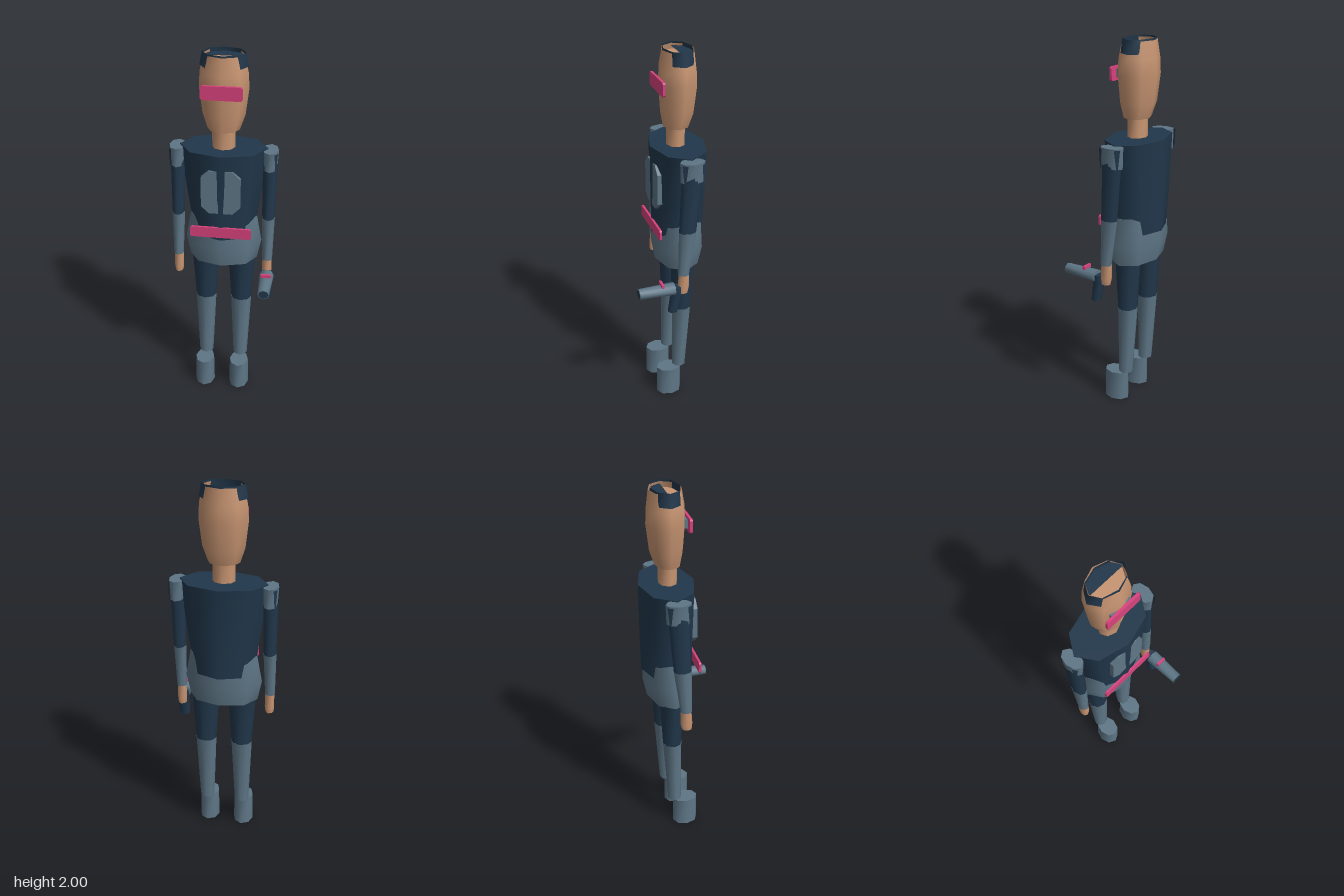
import * as THREE from 'three';

const mat = (name, color, side = THREE.FrontSide) => {
  const m = new THREE.MeshStandardMaterial({ color, side });
  m.name = name;
  return m;
};

// Closed loft with eight sides; each ring is [y, rx, rz, cx, cz], listed bottom to top.
function loft(rings, capBottom = true, capTop = true, sides = 8) {
  const pos = [], idx = [];
  const point = ([y, rx, rz, cx = 0, cz = 0], i) => {
    const a = (i / sides) * Math.PI * 2;
    pos.push(cx + rx * Math.sin(a), y, cz + rz * Math.cos(a));
  };
  rings.forEach((r) => { for (let i = 0; i < sides; i++) point(r, i); });
  for (let k = 0; k < rings.length - 1; k++) {
    for (let i = 0; i < sides; i++) {
      const a = k * sides + i, b = k * sides + ((i + 1) % sides);
      idx.push(a, b, b + sides, a, b + sides, a + sides);
    }
  }
  // Caps keep their own vertices so that their edges stay sharp
  const cap = (r, up) => {
    const s = pos.length / 3;
    for (let i = 0; i < sides; i++) point(r, i);
    for (let i = 1; i < sides - 1; i++) {
      if (up) idx.push(s, s + i, s + i + 1);
      else idx.push(s, s + i + 1, s + i);
    }
  };
  if (capBottom) cap(rings[0], false);
  if (capTop) cap(rings[rings.length - 1], true);
  const g = new THREE.BufferGeometry();
  g.setAttribute('position', new THREE.Float32BufferAttribute(pos, 3));
  g.setIndex(idx);
  g.computeVertexNormals();
  return g;
}

// Plate with cut corners, facing +z, centred on the origin
function plate(w, h, d, cut) {
  const x = w / 2, y = h / 2;
  const s = new THREE.Shape([
    [-x + cut, -y], [x - cut, -y], [x, -y + cut], [x, y - cut],
    [x - cut, y], [-x + cut, y], [-x, y - cut], [-x, -y + cut],
  ].map(([a, b]) => new THREE.Vector2(a, b)));
  return new THREE.ExtrudeGeometry(s, { depth: d, bevelEnabled: false }).translate(0, 0, -d / 2);
}

export function createModel() {
  const navy = mat('navy cloth', 0x21374b, THREE.DoubleSide);
  const steel = mat('steel armour', 0x5e7686);
  const skin = mat('skin', 0xc89572, THREE.DoubleSide);
  const pink = mat('pink trim', 0xd8437c);

  const model = new THREE.Group();
  model.name = 'figure';
  const body = new THREE.Group();
  body.name = 'body';
  body.position.x = -0.005;
  model.add(body);

  const add = (parent, name, geometry, material, x = 0, y = 0, z = 0) => {
    const m = new THREE.Mesh(geometry, material);
    m.name = name;
    m.position.set(x, y, z);
    parent.add(m);
    return m;
  };

  // Torso and hips overlap, giving a pointed hem at front and back
  const Z = -0.075;
  add(body, 'torso', loft([
    [1.01, 0.166, 0.141, 0, Z], [1.25, 0.2, 0.144, 0, Z], [1.5, 0.23, 0.145, 0, Z],
  ]), navy);
  add(body, 'hips', loft([
    [0.84, 0.185, 0.118, 0, -0.07], [0.95, 0.207, 0.138, 0, -0.072], [1.1, 0.18, 0.13, 0, Z],
  ]), steel);
  add(body, 'chestPlate', plate(0.205, 0.245, 0.03, 0.04), steel, 0, 1.295, 0.049);
  add(body, 'belt', plate(0.325, 0.06, 0.012, 0.008), pink, 0, 1.06, 0.065);

  // Head: open crown, closed a little below the rim
  add(body, 'neck', loft([[1.49, 0.06, 0.05, 0, -0.067], [1.62, 0.06, 0.05, 0, -0.067]]), skin);
  add(body, 'head', loft([
    [1.6, 0.083, 0.066, 0, -0.066], [1.68, 0.11, 0.087, 0, -0.072],
    [1.82, 0.127, 0.1, 0, Z], [1.9, 0.122, 0.097, 0, Z], [1.992, 0.102, 0.083, 0, -0.077],
  ], true, false), skin);
  add(body, 'crown', loft([[1.94, 0.1, 0.07, 0, Z], [1.965, 0.1, 0.07, 0, Z]]), skin);
  add(body, 'hair', loft([[1.93, 0.123, 0.077, 0, Z], [2.0, 0.11, 0.074, 0, Z]], false, false), navy);
  const backHair = new THREE.CircleGeometry(1, 4, 0, Math.PI).rotateX(-Math.PI / 2).scale(0.108, 1, 0.073);
  add(body, 'backHair', backHair, navy, 0, 1.98, Z);
  add(body, 'visor', plate(0.21, 0.072, 0.014, 0.008), pink, 0, 1.824, 0.028);
  add(body, 'visorMount', new THREE.BoxGeometry(0.125, 0.045, 0.02), steel, 0, 1.824, 0.014);

  // Paired limbs
  for (const [side, s] of [['left', 1], ['right', -1]]) {
    const arm = new THREE.Group();
    arm.name = side + 'Arm';
    arm.position.x = s * 0.243;
    body.add(arm);
    add(arm, 'shoulderPad', loft([[1.39, 0.036, 0.062, 0, -0.073], [1.495, 0.042, 0.066, 0, -0.073]]), steel);
    add(arm, 'upperArm', loft([
      [1.11, 0.034, 0.047, 0, -0.052], [1.4, 0.038, 0.055, 0, -0.07], [1.49, 0.035, 0.05, 0, -0.073],
    ]), navy);
    // Shoulder wedges let the cloth show between the pad's corners
    for (const f of [1, -1]) {
      const wedge = new THREE.Shape([[-0.03, 0.04], [0.03, 0.04], [0.008, -0.06], [-0.008, -0.06]]
        .map(([a, b]) => new THREE.Vector2(a * 0.5, b)));
      const m = add(arm, 'shoulderGap', new THREE.ShapeGeometry(wedge), navy,
        0.0265 * s, 1.45, -0.073 + f * 0.0455);
      m.rotation.y = Math.atan2(0.53 * s, 0.32 * f);
      m.position.x += 0.005 * s;
      m.position.z += 0.004 * f;
    }
    add(arm, 'forearm', loft([
      [0.86, 0.027, 0.031, 0.002 * s, -0.032], [1.11, 0.0345, 0.0475, 0, -0.052],
    ]), steel);
    add(arm, 'hand', loft([
      [0.75, 0.022, 0.027, 0.001 * s, -0.029], [0.78, 0.026, 0.032, 0.001 * s, -0.031],
      [0.862, 0.025, 0.029, 0.001 * s, -0.034],
    ]), skin);

    const leg = new THREE.Group();
    leg.name = side + 'Leg';
    leg.position.x = s * 0.1;
    body.add(leg);
    add(leg, 'thigh', loft([[0.57, 0.057, 0.052, 0, -0.073], [0.87, 0.077, 0.066, 0, -0.075]]), navy);
    add(leg, 'shin', loft([[0.175, 0.04, 0.038, 0, -0.06], [0.57, 0.0575, 0.0525, 0, -0.073]]), steel);
    add(leg, 'boot', loft([[0, 0.056, 0.071], [0.165, 0.053, 0.07]]), steel);
  }

  // Blaster held in the left hand
  const blaster = new THREE.Group();
  blaster.name = 'blaster';
  blaster.position.set(0.244, 0.786, 0);
  model.add(blaster);
  const barrel = loft([[0.022, 0.039, 0.033], [0.215, 0.031, 0.028]]).rotateX(Math.PI / 2);
  add(blaster, 'barrel', barrel, steel);
  const muzzle = loft([[0.2, 0.027, 0.024], [0.217, 0.027, 0.024]]).rotateX(Math.PI / 2);
  add(blaster, 'muzzle', muzzle, navy);
  add(blaster, 'grip', loft([
    [-0.138, 0.028, 0.026, 0, 0.03], [-0.03, 0.032, 0.03, 0, 0.012], [0.01, 0.03, 0.026, 0, 0.01],
  ]), navy);
  add(blaster, 'sight', new THREE.BoxGeometry(0.055, 0.018, 0.014), pink, 0, 0.036, 0.09);

  return model;
}
